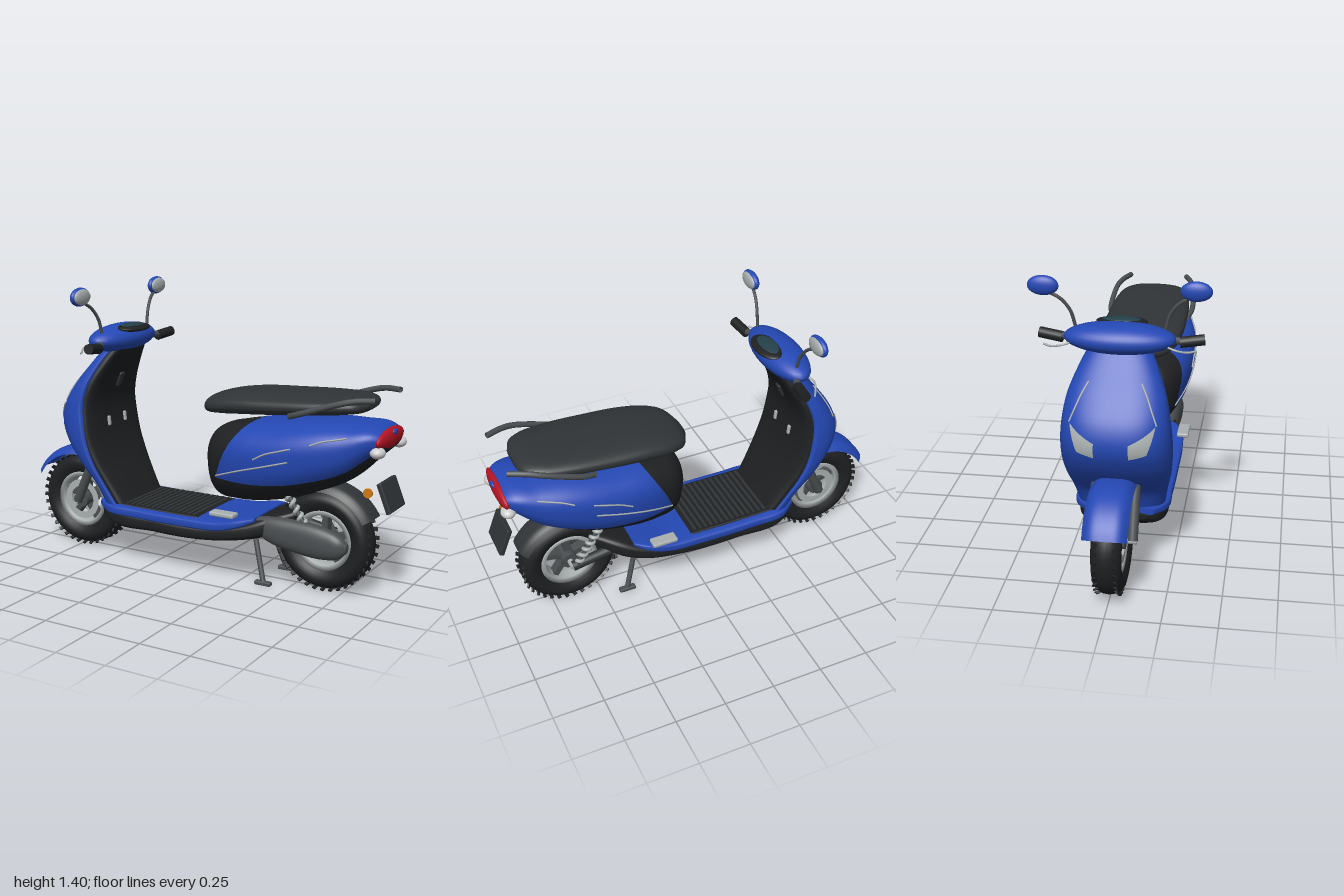
import * as THREE from 'three';
import { mergeVertices } from 'three/addons/utils/BufferGeometryUtils.js';
import { RoundedBoxGeometry } from 'three/addons/geometries/RoundedBoxGeometry.js';

const paint = (color) => new THREE.MeshStandardMaterial({ color, side: THREE.DoubleSide });
const BLUE = paint(0x2448b4), BLACK = paint(0x1e2022), DARK = paint(0x303436), METAL = paint(0x4a4e50),
  SILVER = paint(0xaab0b0), WHITE = paint(0xdde0e0), RED = paint(0xb51424), ORANGE = paint(0xd07a14), GLASS = paint(0x24404a);
const V = (x, y, z) => new THREE.Vector3(x, y, z);
const spow = (v, p) => Math.sign(v) * Math.abs(v) ** p;
const SIDES = [1, -1];

// Grid surface from a point rule f(u, v), both 0..1
function surface(f, nu = 40, nv = 40) {
  const pos = [], index = [];
  for (let i = 0; i <= nu; i++) for (let j = 0; j <= nv; j++) {
    pos.push(...f(i / nu, j / nv).toArray());
    if (i < nu && j < nv) {
      const a = i * (nv + 1) + j, b = a + nv + 1;
      index.push(a, b, a + 1, b, b + 1, a + 1);
    }
  }
  let g = new THREE.BufferGeometry();
  g.setAttribute('position', new THREE.Float32BufferAttribute(pos, 3));
  g.setIndex(index);
  g = mergeVertices(g);
  g.computeVertexNormals();
  return g;
}

// Smooth interpolation of rows [key, a, b, c]
function table(rows) {
  const it = new THREE.CubicInterpolant(rows.map((r) => r[0]), rows.flatMap((r) => r.slice(1)), 3);
  return (t) => [...it.evaluate(t)];
}

// Rounded section along x from rows [x, top, bottom, halfWidth]; angle 0 is the top, taper narrows the bottom
function hull(rows, n, taper = 0) {
  const at = table(rows);
  const point = (x, a, s = 1) => {
    const [top, bottom, w] = at(x), c = Math.cos(a);
    return V(x, (top + bottom) / 2 + s * (top - bottom) / 2 * spow(c, 2 / n),
      s * w * spow(Math.sin(a), 2 / n) * (1 - taper * (1 - c) / 2));
  };
  const x0 = rows[0][0], x1 = rows.at(-1)[0];
  const geometry = surface((u, v) => {
    const k = THREE.MathUtils.clamp((u * 44 - 1) / 42, 0, 1);
    return point(x0 + (x1 - x0) * (1 - Math.cos(Math.PI * k)) / 2, v * Math.PI * 2, u === 0 || u === 1 ? 0 : 1);
  }, 44, 48);
  return { point, geometry };
}

export function createModel() {
  const model = new THREE.Group();
  const add = (name, geometry, material, p = [0, 0, 0], r = [0, 0, 0], parent = model) => {
    const m = new THREE.Mesh(geometry, material);
    m.name = name;
    m.position.set(...p);
    m.rotation.set(...r);
    parent.add(m);
    return m;
  };
  const ball = (name, mat, p, s, r) => add(name, new THREE.SphereGeometry(1, 32, 20), mat, p, r).scale.set(...s);
  const tube = (name, mat, pts, r, seg = 24) =>
    add(name, new THREE.TubeGeometry(new THREE.CatmullRomCurve3(pts), seg, r, 8), mat);
  const rod = (name, mat, a, b, r) => {
    const m = add(name, new THREE.CylinderGeometry(r, r, a.distanceTo(b), 16), mat, a.clone().lerp(b, 0.5).toArray());
    m.quaternion.setFromUnitVectors(V(0, 1, 0), b.clone().sub(a).normalize());
  };
  const lathe = (pts) => new THREE.LatheGeometry(pts.map((p) => new THREE.Vector2(...p)), 48);

  // Wheels
  const half = [[0.142, 0.045], [0.165, 0.06], [0.19, 0.069], [0.212, 0.064], [0.23, 0.047], [0.241, 0.023]];
  const tyre = lathe([...half.map(([r, y]) => [r, -y]), [0.244, 0], ...half.slice().reverse()]);
  const rim = lathe([[0.122, -0.045], [0.146, -0.052], [0.146, 0.052], [0.122, 0.045], [0.118, 0], [0.122, -0.045]]);
  for (const [name, x] of [['frontWheel', -0.74], ['rearWheel', 0.65]]) {
    const wheel = new THREE.Group();
    wheel.name = name;
    wheel.position.set(x, 0.25, 0);
    model.add(wheel);
    const turn = [Math.PI / 2, 0, 0];
    add('tyre', tyre, BLACK, [0, 0, 0], turn, wheel);
    add('rim', rim, SILVER, [0, 0, 0], turn, wheel);
    add('hub', new THREE.CylinderGeometry(0.04, 0.04, 0.12, 24), METAL, [0, 0, 0], turn, wheel);
    add('axle', new THREE.CylinderGeometry(0.015, 0.015, 0.22, 12), SILVER, [0, 0, 0], turn, wheel);
    for (let i = 0; i < 5; i++) {
      const a = i * Math.PI * 0.4 + 0.3;
      add('spoke', new THREE.BoxGeometry(0.1, 0.028, 0.05), METAL, [0.08 * Math.cos(a), 0.08 * Math.sin(a), 0], [0, 0, a], wheel);
    }
    // Tread blocks lie along the shoulder of the tyre
    for (let i = 0; i < 36; i++) for (const s of SIDES) {
      const t = new THREE.Group();
      t.rotation.z = (i + s * 0.25) * Math.PI / 18;
      wheel.add(t);
      add('treadBlock', new THREE.BoxGeometry(0.008, 0.018, 0.04), BLACK, [0.233, 0, s * 0.038], [s * 0.4, s * 0.6, 0], t);
    }
    if (x < 0) for (const s of SIDES)
      add('brakeDisc', new THREE.RingGeometry(0.07, 0.105, 40), SILVER, [0, 0, s * 0.05], [0, 0, 0], wheel);
  }

  // Mudguards and fork
  const guard = (cx, a0, a1, r, w) => surface((u, v) => {
    const a = THREE.MathUtils.degToRad(a0 + (a1 - a0) * u), k = v * 2 - 1, rr = r - 0.04 * k ** 4;
    return V(cx + rr * Math.cos(a), 0.25 + rr * Math.sin(a), w * k);
  }, 32, 16);
  add('frontMudguard', guard(-0.75, 151, 45, 0.29, 0.1), BLUE);
  add('rearMudguard', guard(0.65, 100, 29, 0.285, 0.085), DARK);
  for (const s of SIDES) rod('forkLeg', METAL, V(-0.74, 0.25, s * 0.09), V(-0.61, 0.54, s * 0.09), 0.024);

  // Leg shield with a turned-in lip: rows [y, front x, edge x, half width]
  const shieldAt = table([
    [0.28, -0.53, -0.42, 0.2], [0.4, -0.58, -0.49, 0.22], [0.5, -0.67, -0.545, 0.24], [0.6, -0.745, -0.585, 0.25],
    [0.7, -0.785, -0.605, 0.25], [0.8, -0.765, -0.61, 0.24], [0.9, -0.7, -0.585, 0.22], [1.0, -0.62, -0.535, 0.18], [1.09, -0.55, -0.48, 0.135]]);
  const shield = (y, a, s = 1) => {
    const [xf, xr, w] = shieldAt(y), c = Math.cos(a);
    return V(xr - s * (xr - xf) * spow(c, 0.8) * (c < 0 ? 0.25 : 1), y, s * w * spow(Math.sin(a), 0.8));
  };
  add('legShield', surface((u, v) => shield(0.28 + 0.81 * u, (v * 2 - 1) * 1.97), 40, 60), BLUE);
  add('innerPanel', surface((u, v) => {
    const y = 0.28 + 0.81 * u, [, xr, w] = shieldAt(y), a = (v - 0.5) * Math.PI;
    return V(xr + 0.06 * spow(Math.cos(a), 0.5), y, 0.94 * w * spow(Math.sin(a), 0.7));
  }), BLACK);
  for (const s of SIDES) {
    add('headlight', surface((u, v) => {
      const low = 0.67 + 0.02 * v, high = 0.74 + 0.07 * v;
      return shield(low + (high - low) * u, s * (0.22 + (0.33 + 0.25 * u) * v), 1.03);
    }, 12, 12), SILVER);
    tube('shieldTrim', SILVER, [0.81, 0.86, 0.92, 0.97].map((y, i) => shield(y, s * (0.85 - i * 0.1), 1.01)), 0.004);
    add('latch', new RoundedBoxGeometry(0.02, 0.05, 0.02, 2, 0.006), SILVER, [-0.545, 0.7, s * 0.07], [0, 0, 0.1]);
  }
  add('bagHook', new RoundedBoxGeometry(0.03, 0.08, 0.04, 2, 0.01), DARK, [-0.525, 0.91, 0], [0, 0, -0.4]);

  // Footboard
  add('underbody', hull([[-0.55, 0.28, 0.25, 0.13], [-0.5, 0.29, 0.205, 0.18], [-0.2, 0.28, 0.18, 0.205], [0.1, 0.28, 0.188, 0.205],
    [0.3, 0.32, 0.22, 0.195], [0.41, 0.36, 0.25, 0.16], [0.52, 0.385, 0.31, 0.085]], 3.5).geometry, BLACK);
  add('footboardTrim', hull([[-0.54, 0.31, 0.27, 0.16], [-0.46, 0.31, 0.255, 0.215], [-0.3, 0.308, 0.25, 0.223], [0, 0.308, 0.25, 0.224],
    [0.18, 0.315, 0.26, 0.222], [0.28, 0.335, 0.29, 0.21], [0.35, 0.345, 0.32, 0.17]], 5).geometry, BLUE);
  add('footMat', new RoundedBoxGeometry(0.46, 0.02, 0.375, 2, 0.008), BLACK, [-0.18, 0.301, 0]);
  for (let i = 0; i < 14; i++)
    add('matRib', new THREE.BoxGeometry(0.014, 0.008, 0.34), DARK, [-0.37 + i * 0.03, 0.312, 0]);

  // Rear body, narrower below, with painted upper shell
  const body = hull([[0.055, 0.69, 0.46, 0.11], [0.09, 0.735, 0.41, 0.17], [0.2, 0.775, 0.39, 0.232], [0.45, 0.81, 0.425, 0.276],
    [0.65, 0.835, 0.495, 0.268], [0.8, 0.84, 0.575, 0.23], [0.92, 0.835, 0.69, 0.18], [0.965, 0.81, 0.73, 0.14]], 2.4, 0.26);
  add('rearBody', body.geometry, BLACK);
  add('bodyShell', surface((u, v) => {
    const k = v * 2 - 1, x0 = 0.3 - 0.16 * Math.abs(k) ** 1.5;
    return body.point(x0 + (0.965 - x0) * u, k * (1.8 + 0.45 * u), 1.015);
  }, 40, 48), BLUE);
  for (const s of SIDES) for (const [x0, x1, a0, a1] of [[0.15, 0.56, 1.75, 1.5], [0.38, 0.57, 1.4, 1.2], [0.66, 0.82, 1.15, 1.0]])
    tube('bodyTrim', SILVER, [0, 0.33, 0.67, 1].map((t) => body.point(x0 + (x1 - x0) * t, s * (a0 + (a1 - a0) * Math.sqrt(t)), 1.03)), 0.004);

  // Seat and grab rails
  add('seat', hull([[0.025, 0.86, 0.825, 0.06], [0.06, 0.893, 0.812, 0.135], [0.12, 0.915, 0.813, 0.178], [0.25, 0.938, 0.823, 0.203],
    [0.45, 0.95, 0.84, 0.208], [0.7, 0.96, 0.865, 0.192], [0.8, 0.958, 0.878, 0.165], [0.85, 0.945, 0.89, 0.125], [0.87, 0.93, 0.905, 0.07]], 2.4).geometry, DARK);
  for (const s of SIDES)
    tube('grabRail', METAL, [V(0.54, 0.865, s * 0.2), V(0.6, 0.885, s * 0.217), V(0.78, 0.945, s * 0.21), V(0.85, 0.962, s * 0.19), V(0.935, 0.967, s * 0.155)], 0.014);

  // Tail lamp, indicators, plate
  ball('tailLamp', RED, [0.95, 0.775, 0], [0.028, 0.05, 0.155], [0, 0, -0.1]);
  ball('tailBadge', BLUE, [0.972, 0.805, 0], [0.01, 0.014, 0.025]);
  for (const s of SIDES) ball('tailIndicator', WHITE, [0.945, 0.73, s * 0.13], [0.035, 0.027, 0.04]);
  add('plate', new RoundedBoxGeometry(0.025, 0.145, 0.185, 2, 0.006), DARK, [0.965, 0.51, 0], [0, 0, 0.38]);
  add('reflector', new THREE.CylinderGeometry(0.022, 0.022, 0.012, 20), ORANGE, [0.905, 0.54, 0.13], [Math.PI / 2, 0, 0]);

  // Drive unit, swing arm and rear shocks
  add('driveCover', hull([[0.32, 0.335, 0.29, 0.02], [0.4, 0.352, 0.235, 0.04], [0.55, 0.355, 0.2, 0.046],
    [0.7, 0.34, 0.19, 0.046], [0.78, 0.31, 0.21, 0.036], [0.81, 0.28, 0.24, 0.015]], 2.3).geometry, METAL, [0, 0, 0.125]);
  rod('swingArm', DARK, V(0.38, 0.3, -0.1), V(0.65, 0.25, -0.1), 0.025);
  for (const s of SIDES) {
    const a = V(0.49, 0.48, s * 0.11), b = V(0.63, 0.27, s * 0.11), d = b.clone().sub(a), n = V(-d.y, d.x, 0).normalize();
    rod('shockRod', METAL, a, b, 0.012);
    const coil = Array.from({ length: 73 }, (_, i) => a.clone().addScaledVector(d, 0.06 + 0.88 * i / 72)
      .addScaledVector(n, 0.014 * Math.cos(i * Math.PI / 6)).add(V(0, 0, 0.014 * Math.sin(i * Math.PI / 6))));
    tube('shockSpring', SILVER, coil, 0.01, 150);
    // Foot pegs and centre stand
    add('footPeg', new RoundedBoxGeometry(0.13, 0.022, 0.06, 2, 0.008), SILVER, [0.215, 0.36, s * 0.222]);
    rod('standLeg', METAL, V(0.31, 0.24, s * 0.08), V(0.38, 0.02, s * 0.125), 0.013);
    add('standFoot', new RoundedBoxGeometry(0.085, 0.02, 0.03, 2, 0.006), METAL, [0.38, 0.014, s * 0.125]);
  }

  // Handlebar, grips, levers, mirrors
  ball('handlebarCowl', BLUE, [-0.5, 1.127, 0], [0.108, 0.07, 0.25]);
  ball('instrumentPanel', BLACK, [-0.43, 1.18, 0], [0.062, 0.018, 0.115], [0, 0, -0.1]);
  ball('instrumentGlass', GLASS, [-0.435, 1.188, 0], [0.045, 0.014, 0.09], [0, 0, -0.1]);
  for (const s of SIDES) {
    rod('barEnd', METAL, V(-0.48, 1.12, s * 0.2), V(-0.45, 1.105, s * 0.3), 0.017);
    rod('grip', BLACK, V(-0.46, 1.103, s * 0.262), V(-0.443, 1.115, s * 0.37), 0.025);
    tube('brakeLever', SILVER, [V(-0.53, 1.11, s * 0.2), V(-0.555, 1.1, s * 0.25), V(-0.535, 1.085, s * 0.3), V(-0.51, 1.085, s * 0.34)], 0.005);
    tube('mirrorStem', METAL, [V(-0.485, 1.17, s * 0.2), V(-0.49, 1.24, s * 0.22), V(-0.5, 1.295, s * 0.26), V(-0.51, 1.33, s * 0.315)], 0.008);
    ball('mirrorShell', BLUE, [-0.512, 1.357, s * 0.335], [0.027, 0.045, 0.07]);
    ball('mirrorGlass', SILVER, [-0.498, 1.357, s * 0.335], [0.017, 0.038, 0.062]);
  }
  return model;
}
